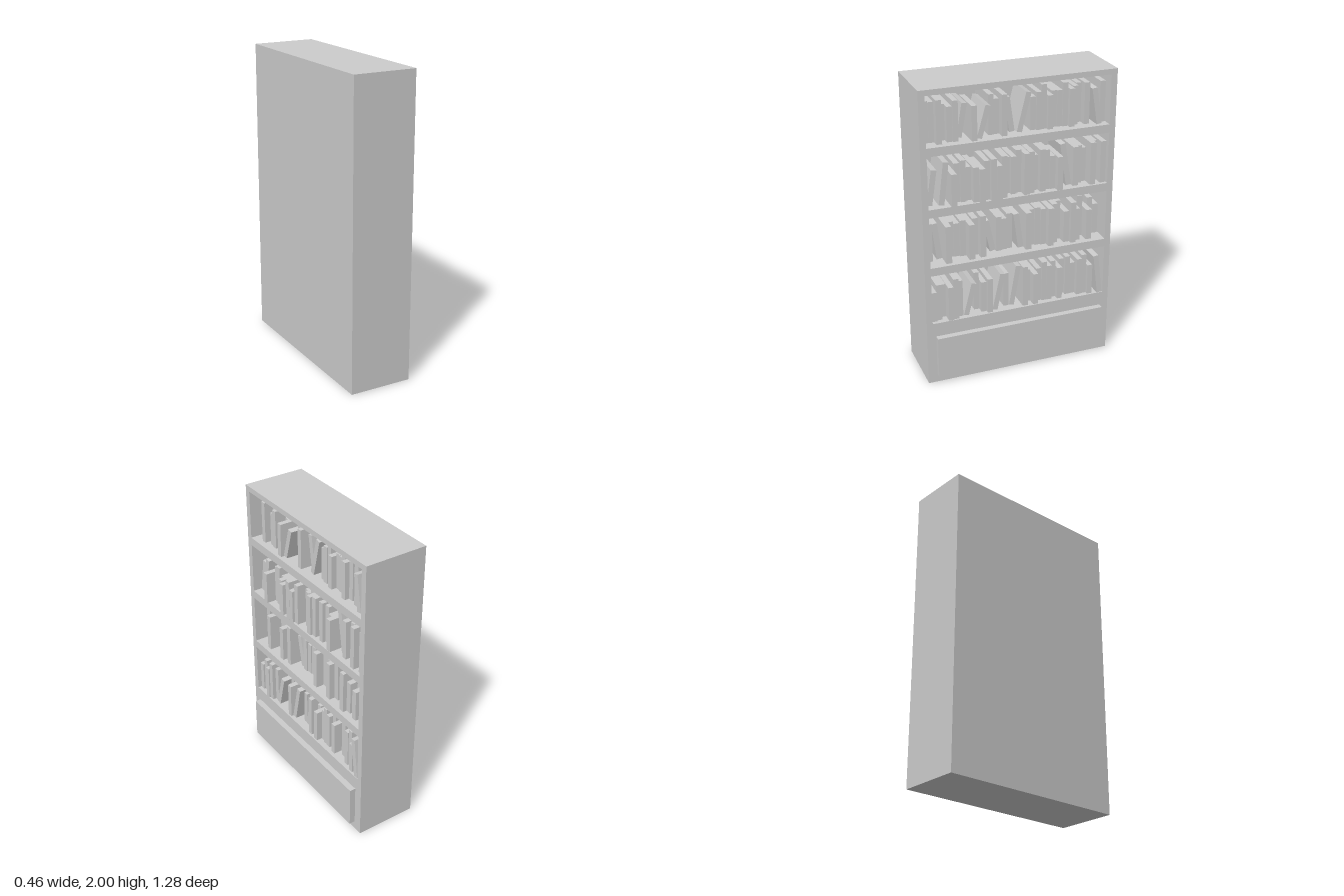
import * as THREE from 'three';

const FRONT = 0.19, BACK = -0.23, PANEL = 0.04, HALF = 0.64, INNER = 0.6;
const PITCH = 0.4, FIRST_SHELF = 0.44;

// Rows from bottom to top: clear height, number of books, mean spine position,
// and leaning books as index: sideways shift of the top (positive towards -z)
const rows = [
  { clear: 0.345, count: 28, spine: 0.15, leans: { 6: 0.055, 10: 0.055, 12: 0.048, 27: -0.035 } },
  { clear: 0.345, count: 28, spine: 0.12, leans: { 1: -0.03, 9: -0.045, 13: -0.032 } },
  { clear: 0.345, count: 29, spine: 0.15, leans: { 0: 0.034, 1: 0.034, 22: -0.045 } },
  { clear: 0.325, count: 27, spine: 0.12, leans: { 6: 0.038, 8: 0.058, 12: -0.032, 13: 0.062, 25: -0.038 } },
];

const material = new THREE.MeshStandardMaterial({ color: 0xcccccc, flatShading: true });

function add(parent, name, geometry, x = 0, y = 0, z = 0) {
  const mesh = new THREE.Mesh(geometry, material);
  mesh.name = name;
  mesh.position.set(x, y, z);
  parent.add(mesh);
}

function rect(path, a, b, c, d) {
  path.moveTo(a, b);
  path.lineTo(c, b);
  path.lineTo(c, d);
  path.lineTo(a, d);
  path.closePath();
  return path;
}

// Repeatable variation from 0 to 1
function makeRandom(seed) {
  return () => (seed = (seed * 16807) % 2147483647) / 2147483647;
}

// One row of books, upright or tipped about a lower corner
function bookRow({ count, leans, spine }, random) {
  const group = new THREE.Group();
  group.name = 'bookRow';
  const leanTotal = Object.values(leans).reduce((sum, v) => sum + Math.abs(v), 0);
  const width = (1.19 - leanTotal) / count;
  let z = 0.595;
  for (let i = 0; i < count; i++) {
    const lean = leans[i] ?? 0;
    const side = Math.sign(lean);
    const height = 0.21 + 0.08 * random();
    const depth = 0.2 + 0.05 * random();
    const front = spine + 0.1 * (random() - 0.5);
    const geometry = new THREE.BoxGeometry(depth, height, width - 0.001);
    // Put the resting corner at the origin, then tip the book
    geometry.translate(0, height / 2, side * width / 2);
    geometry.rotateX(-Math.asin(lean / height));
    const rest = side > 0 ? width : side < 0 ? -lean : width / 2;
    add(group, 'book', geometry, front - depth / 2, 0, z - rest);
    z -= width + Math.abs(lean);
  }
  return group;
}

export function createModel() {
  const model = new THREE.Group();
  model.name = 'bookcase';

  // Case face with four open compartments, each filled with books
  const face = rect(new THREE.Shape(), -HALF, 0, HALF, 2);
  const random = makeRandom(71);
  rows.forEach((row, i) => {
    const floor = FIRST_SHELF + i * PITCH;
    face.holes.push(rect(new THREE.Path(), -INNER, floor, INNER, floor + row.clear));
    const books = bookRow(row, random);
    books.position.y = floor;
    model.add(books);
  });

  // Frame and shelves extruded forward from the back panel
  const frame = new THREE.ExtrudeGeometry(face, { depth: FRONT - BACK - PANEL, bevelEnabled: false });
  frame.rotateY(Math.PI / 2);
  add(model, 'caseFrame', frame, BACK + PANEL);
  add(model, 'backPanel', new THREE.BoxGeometry(PANEL, 2, HALF * 2), BACK + PANEL / 2, 1, 0);

  // Raised drawer front in the base
  add(model, 'drawerFront', new THREE.BoxGeometry(0.04, 0.285, 1.16), FRONT + 0.02, 0.2025, 0);

  return model;
}
